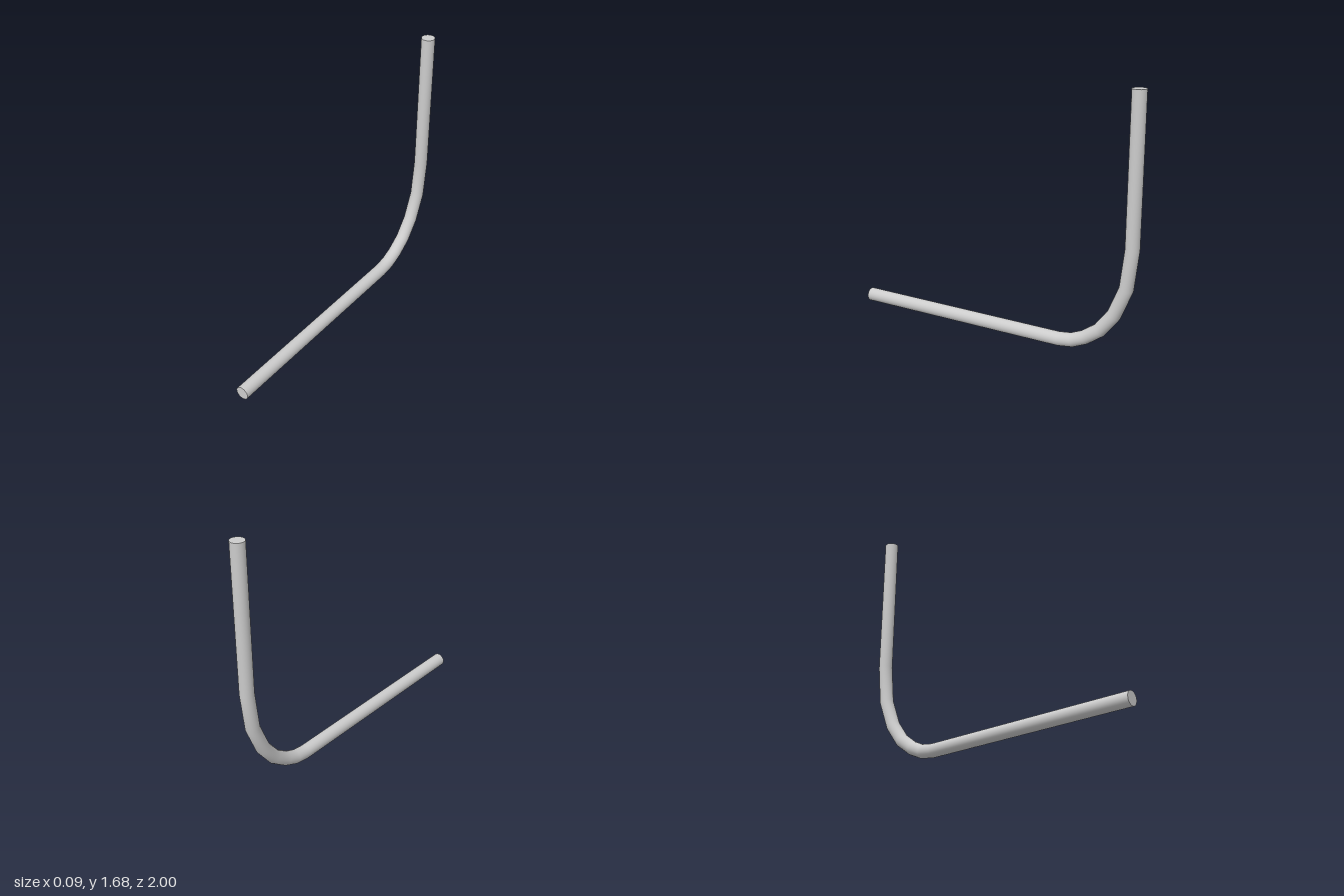
import * as THREE from 'three';

const RADIUS = 0.045;
const SIDES = 32;

// Centre line in the x = 0 plane, as [y, z], from the front end to the top end
const PATH = [
  [0.045, 1], [0.045, -0.482], [0.058, -0.575], [0.096, -0.662], [0.168, -0.762],
  [0.287, -0.853], [0.47, -0.927], [0.725, -0.955], [1.685, -0.955],
].map(([y, z]) => new THREE.Vector3(0, y, z));

// Round pipe with mitred joints along the centre line
function pipeGeometry(path) {
  const positions = [], index = [];
  path.forEach((p, i) => {
    const before = p.clone().sub(path[Math.max(i - 1, 0)]).normalize();
    const after = path[Math.min(i + 1, path.length - 1)].clone().sub(p).normalize();
    const t = before.clone().add(after).normalize();
    const stretch = 1 / Math.max(t.dot(before), t.dot(after));
    for (let j = 0; j < SIDES; j++) {
      const a = (j / SIDES) * Math.PI * 2;
      const s = Math.sin(a) * RADIUS * stretch;
      positions.push(Math.cos(a) * RADIUS, p.y - t.z * s, p.z + t.y * s);
      if (i < path.length - 1) {
        const A = i * SIDES + j, B = i * SIDES + ((j + 1) % SIDES);
        index.push(A, A + SIDES, B, B, A + SIDES, B + SIDES);
      }
    }
  });
  const geometry = new THREE.BufferGeometry();
  geometry.setAttribute('position', new THREE.Float32BufferAttribute(positions, 3));
  geometry.setIndex(index);
  geometry.computeVertexNormals();
  return geometry;
}

export function createModel() {
  const group = new THREE.Group();
  group.name = 'bentPipe';
  const material = new THREE.MeshStandardMaterial({ color: 0xcccccc });
  const add = (name, geometry) => {
    const mesh = new THREE.Mesh(geometry, material);
    mesh.name = name;
    group.add(mesh);
    return mesh;
  };

  add('pipe', pipeGeometry(PATH));

  // Flat end caps
  const cap = new THREE.CircleGeometry(RADIUS, SIDES);
  add('frontCap', cap).position.copy(PATH[0]);
  const top = add('topCap', cap);
  top.position.copy(PATH[PATH.length - 1]);
  top.rotation.x = -Math.PI / 2;

  return group;
}
